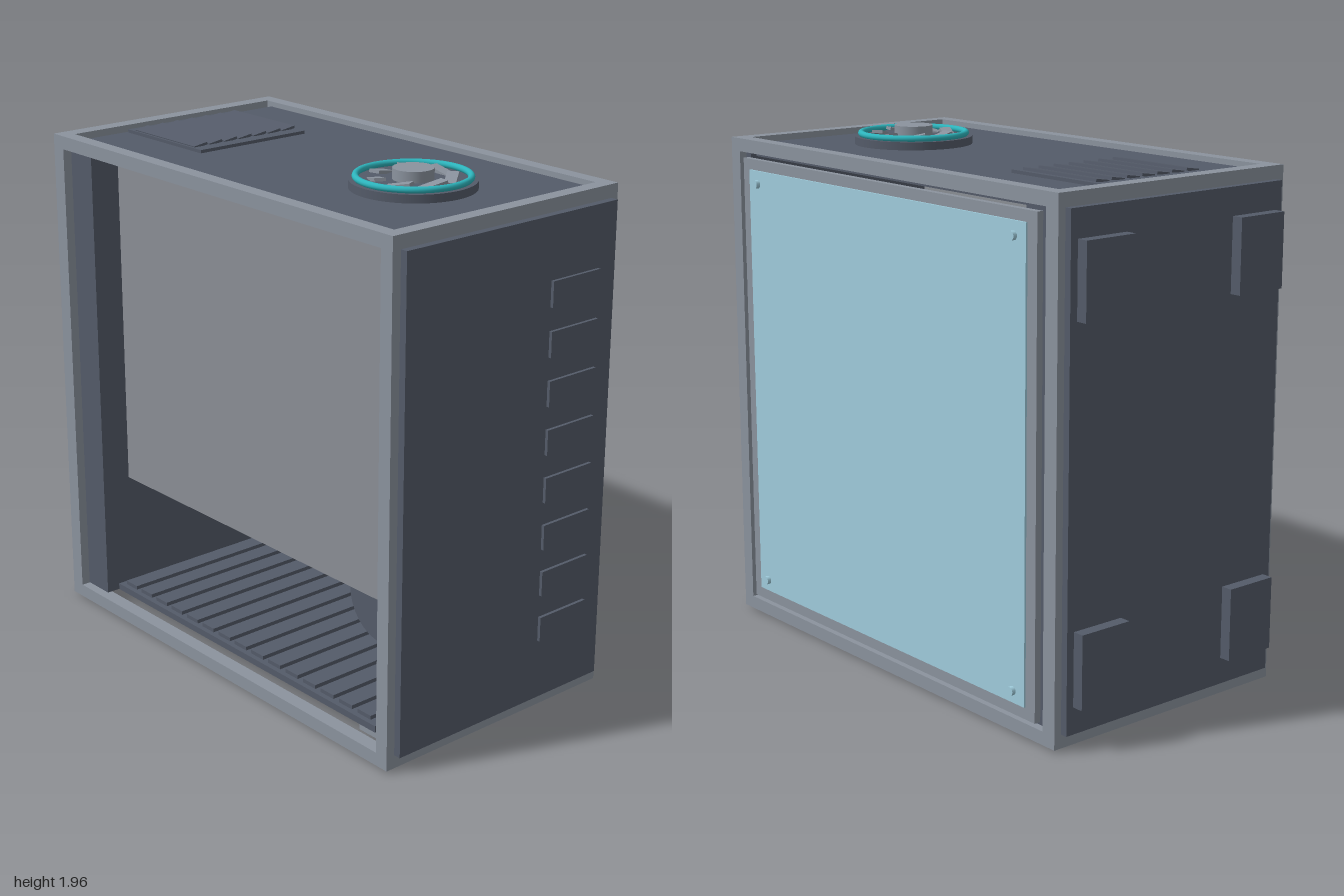
import * as THREE from 'three';

const material = (name, color) => Object.assign(new THREE.MeshStandardMaterial({ color }), { name });

export function createModel() {
  const frame = material('frame grey', 0x8b939e);
  const panel = material('dark panel', 0x545b69);
  const glass = material('blue glass', 0xa0cddd);
  const accent = material('teal', 0x2db4bc);
  const trayGrey = material('tray grey', 0x8b8f96);

  const model = new THREE.Group();
  model.name = 'computerCase';

  const add = (name, geometry, mat, parent = model) => {
    const mesh = new THREE.Mesh(geometry, mat);
    mesh.name = name;
    parent.add(mesh);
    return mesh;
  };
  // Box given by its low and high corner on each axis
  const box = (name, mat, [x0, x1], [y0, y1], [z0, z1], parent = model) => {
    const mesh = add(name, new THREE.BoxGeometry(x1 - x0, y1 - y0, z1 - z0), mat, parent);
    mesh.position.set((x0 + x1) / 2, (y0 + y1) / 2, (z0 + z1) / 2);
    return mesh;
  };
  const group = (name) => {
    const g = new THREE.Group();
    g.name = name;
    model.add(g);
    return g;
  };

  // Open frame: four posts, four long rails, four cross rails
  const skeleton = group('frame');
  const xs = [[-0.54, -0.485], [0.45, 0.505]];
  const ys = [[0.01, 0.06], [1.86, 1.91]];
  const zs = [[-0.93, -0.87], [0.905, 0.96]];
  for (const x of xs) {
    for (const z of zs) box('post', frame, x, [0.01, 1.91], z, skeleton);
    for (const y of ys) box('sideRail', frame, x, y, [-0.87, 0.905], skeleton);
  }
  for (const y of ys) {
    for (const z of zs) box('crossRail', frame, [-0.485, 0.45], y, z, skeleton);
  }

  // Front, back and top panels
  box('frontPanel', panel, [-0.505, 0.475], [0.061, 1.861], [0.875, 0.988]);
  box('backPanel', panel, [-0.505, 0.475], [0.061, 1.861], [-0.957, -0.74]);
  box('topPanel', panel, [-0.484, 0.449], [1.84, 1.89], [-0.845, 0.875]);

  // Front drive covers
  for (let i = 0; i < 8; i++) {
    const y = 0.337 + i * 0.1786;
    box('driveCover', panel, [0.16, 0.39], [y - 0.047, y + 0.047], [0.98, 1.0]);
  }

  // Rear feet
  for (const x of [[-0.475, -0.265], [0.23, 0.445]]) {
    for (const y of [[0.16, 0.43], [1.49, 1.76]]) box('rearFoot', panel, x, y, [-1, -0.95]);
  }

  // Interior tray, round cooler and slatted floor
  box('tray', trayGrey, [-0.385, -0.365], [0.53, 1.85], [-0.74, 0.875]);
  const cooler = add('cooler', new THREE.CylinderGeometry(0.17, 0.17, 0.08, 32), panel);
  cooler.rotation.z = Math.PI / 2;
  cooler.position.set(-0.05, 0.32, 0.43);
  box('floor', panel, [-0.45, 0.45], [0.06, 0.085], [-0.78, 0.8]);
  for (let i = 0; i < 15; i++) {
    const z = -0.68 + i * 0.1;
    box('floorSlat', panel, [-0.43, 0.43], [0.085, 0.1], [z - 0.035, z + 0.035]);
  }

  // Button and ports on a ledge under the front edge
  box('portLedge', frame, [-0.45, 0.45], [0.04, 0.06], [0.72, 0.906]);
  const button = add('powerButton', new THREE.CylinderGeometry(0.037, 0.037, 0.04, 24), accent);
  button.position.set(-0.305, 0.02, 0.82);
  for (const [x, half] of [[-0.162, 0.037], [-0.018, 0.037], [0.135, 0.016]]) {
    box('port', panel, [x - half, x + half], [0.001, 0.04], [0.802, 0.838]);
  }

  // Side window: ring, glass and corner screws
  const ring = new THREE.Shape([[-0.868, 0.08], [0.838, 0.08], [0.838, 1.84], [-0.868, 1.84]]
    .map((p) => new THREE.Vector2(...p)));
  ring.holes.push(new THREE.Path([[-0.8, 0.14], [-0.8, 1.78], [0.77, 1.78], [0.77, 0.14]]
    .map((p) => new THREE.Vector2(...p))));
  const windowFrame = add('windowFrame',
    new THREE.ExtrudeGeometry(ring, { depth: 0.025, bevelEnabled: false }), frame);
  windowFrame.rotation.y = Math.PI / 2;
  windowFrame.position.x = 0.488;
  box('windowGlass', glass, [0.505, 0.52], [0.125, 1.8], [-0.79, 0.82]);
  for (const y of [0.17, 1.75]) {
    for (const z of [-0.73, 0.765]) {
      const screw = add('windowScrew', new THREE.CylinderGeometry(0.016, 0.016, 0.02, 16), glass);
      screw.rotation.z = Math.PI / 2;
      screw.position.set(0.525, y, z);
    }
  }

  // Top vent with slightly tilted slats
  box('ventPlate', panel, [-0.265, 0.232], [1.885, 1.902], [-0.835, -0.38]);
  for (let i = 0; i < 7; i++) {
    const x = -0.226 + i * 0.07;
    const slat = box('ventSlat', panel, [x - 0.03, x + 0.03], [1.9, 1.91], [-0.8, -0.43]);
    slat.rotation.z = 0.15;
  }

  // Top fan: base, teal ring, hub and seven blades
  const fan = group('topFan');
  fan.position.set(-0.015, 0, 0.49);
  add('fanBase', new THREE.CylinderGeometry(0.225, 0.225, 0.035, 48), panel, fan).position.y = 1.9025;
  const glow = add('fanRing', new THREE.TorusGeometry(0.2, 0.012, 12, 64), accent, fan);
  glow.rotation.x = Math.PI / 2;
  glow.position.y = 1.93;
  add('fanHub', new THREE.CylinderGeometry(0.073, 0.073, 0.05, 32), frame, fan).position.y = 1.935;
  for (let i = 0; i < 7; i++) {
    const arm = new THREE.Group();
    arm.name = 'bladeArm';
    arm.rotation.y = (i / 7) * Math.PI * 2;
    fan.add(arm);
    const blade = add('fanBlade', new THREE.BoxGeometry(0.042, 0.012, 0.094), frame, arm);
    blade.position.set(0.132, 1.926, 0);
    blade.rotation.x = 0.2;
  }

  return model;
}
